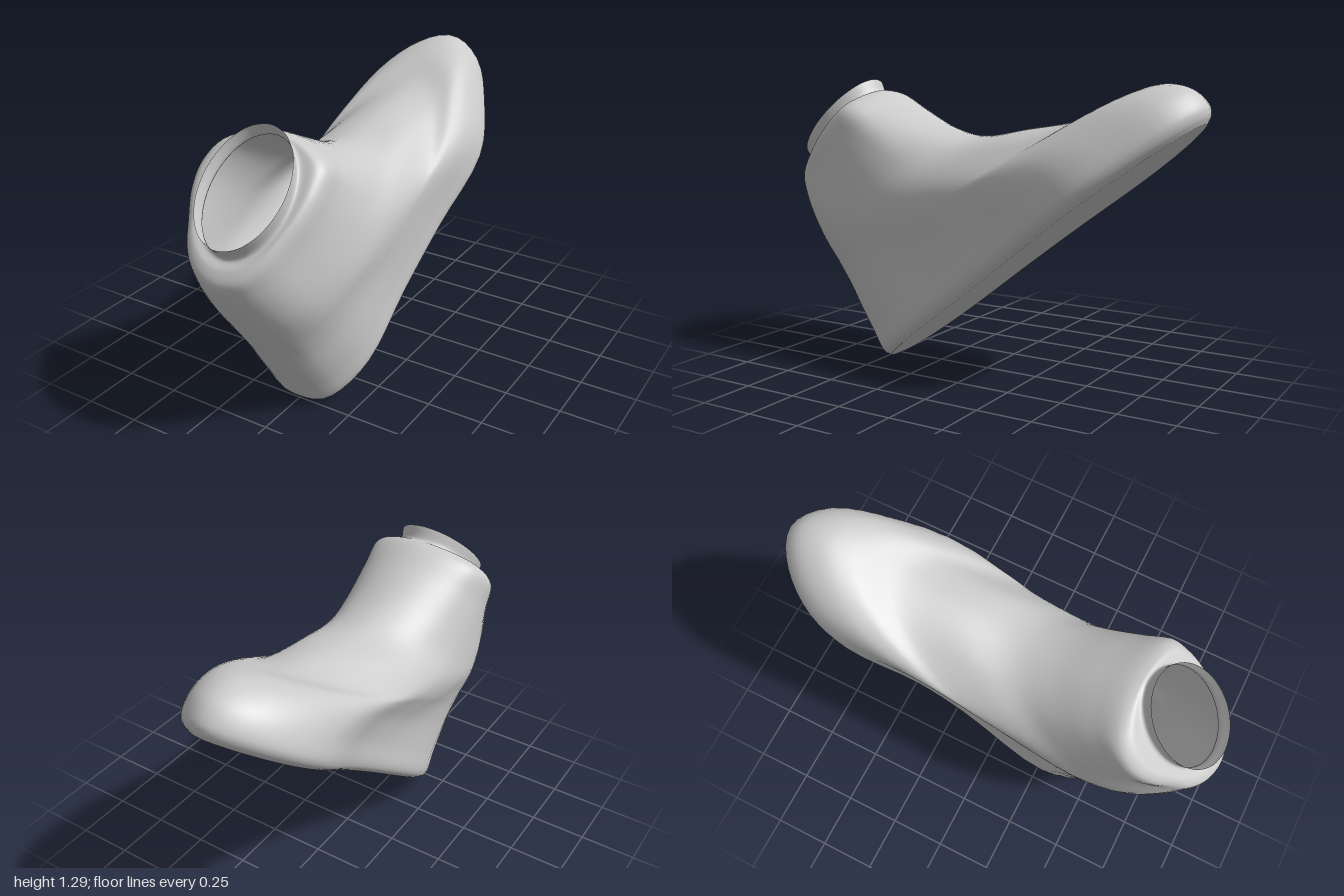
import * as THREE from 'three';

const N = 64; // points around each ring

// Outlines as [x, s]: s runs 0 at the heel to 1 at the front, heel -> left -> front -> right
const SOLE = [[0, 0], [.15, .025], [.245, .13], [.26, .32], [.285, .5], [.325, .7], [.228, .85], [.115, .955],
  [-.04, 1], [-.19, .955], [-.295, .86], [-.32, .75], [-.26, .56], [-.245, .42], [-.25, .15], [-.15, .025]];
const BODY = [[-.01, 0], [.13, .03], [.225, .13], [.275, .3], [.285, .48], [.265, .65], [.21, .8], [.12, .94],
  [-.02, 1], [-.14, .94], [-.24, .8], [-.31, .62], [-.33, .45], [-.32, .3], [-.26, .13], [-.14, .03]];
const COLLAR = [[-.02, 0], [.08, .04], [.15, .15], [.2, .33], [.235, .52], [.245, .7], [.222, .86], [.11, .96],
  [-.02, 1], [-.14, .97], [-.26, .87], [-.31, .7], [-.3, .52], [-.25, .33], [-.19, .15], [-.11, .04]];
const OPENING = Array.from({ length: 16 }, (_, i) => {
  const a = i / 16 * Math.PI * 2;
  return [-.01 + .19 * Math.sin(a), .5 - .5 * Math.cos(a)];
});

const sample = (pts) => {
  const curve = new THREE.CatmullRomCurve3(pts.map(([x, s]) => new THREE.Vector3(x, s, 0)), true);
  return Array.from({ length: N }, (_, i) => curve.getPoint(i / N));
};
const SHAPES = [SOLE, BODY, COLLAR, OPENING].map(sample);

// Shoe frame (u along the sole, v off the sole) turned so the shoe stands on its heel
const place = (x, u, v) => new THREE.Vector3(x, .616 * u + .788 * v, .49 - .788 * u + .616 * v);

// Ring: back point, front point, outline blend (0 sole .. 3 opening), width scale
function ring([bu, bv, fu, fv, blend, width]) {
  const k = Math.min(Math.floor(blend), 2);
  return SHAPES[k].map((p, i) => {
    const q = p.clone().lerp(SHAPES[k + 1][i], blend - k);
    return place(q.x * width, bu + (fu - bu) * q.y, bv + (fv - bv) * q.y);
  });
}

// Smooth skin through a stack of rings
function loft(rings, steps) {
  const columns = Array.from({ length: N }, (_, i) =>
    new THREE.CatmullRomCurve3(rings.map((r) => r[i]), false, 'centripetal'));
  const pos = [], idx = [];
  for (let j = 0; j <= steps; j++) {
    for (let i = 0; i < N; i++) {
      pos.push(...columns[i].getPoint(j / steps).toArray());
      if (j === steps) continue;
      const a = j * N + i, b = j * N + (i + 1) % N;
      idx.push(a, b, b + N, a, b + N, a + N);
    }
  }
  return surface(pos, idx);
}

function surface(pos, idx) {
  const g = new THREE.BufferGeometry();
  g.setAttribute('position', new THREE.Float32BufferAttribute(pos, 3));
  g.setIndex(idx);
  g.computeVertexNormals();
  return g;
}

// Flat fan closing the underside
function fan(points, centre) {
  const pos = [...centre.toArray()], idx = [];
  points.forEach((p, i) => {
    pos.push(...p.toArray());
    idx.push(0, 1 + (i + 1) % N, 1 + i);
  });
  return surface(pos, idx);
}

export function createModel() {
  const group = new THREE.Group();
  group.name = 'shoe';
  const material = new THREE.MeshStandardMaterial({ color: 0xcccccc, side: THREE.DoubleSide });
  const add = (name, geometry) => {
    const mesh = new THREE.Mesh(geometry, material);
    mesh.name = name;
    group.add(mesh);
  };

  // Upper: rounded sole edge, toe box, instep, heel wall, padded collar and lining lip
  const upper = [
    [.01, 0, 1.86, 0, 0, .84],
    [0, .02, 1.89, .02, 0, .95],
    [0, .05, 1.908, .055, 0, 1],
    [.01, .14, 1.895, .14, .05, 1],
    [.02, .27, 1.82, .225, .25, 1],
    [.03, .38, 1.7, .275, .55, 1],
    [.035, .48, 1.48, .31, .8, 1],
    [.04, .58, 1.22, .44, 1, 1],
    [.045, .68, 1.01, .555, 1.15, 1],
    [.055, .79, .9, .68, 1.4, 1],
    [.07, .88, .8, .87, 1.75, 1],
    [.09, .935, .735, 1.0, 2, 1],
    [.14, .96, .705, 1.035, 2.25, .97],
    [.187, .965, .69, 1.045, 3, .98],
    [.187, 1.035, .698, 1.104, 3, 1],
  ].map(ring);
  add('upper', loft(upper, 84));

  // Sole
  add('sole', fan(upper[0], place(0, .93, 0)));

  return group;
}
